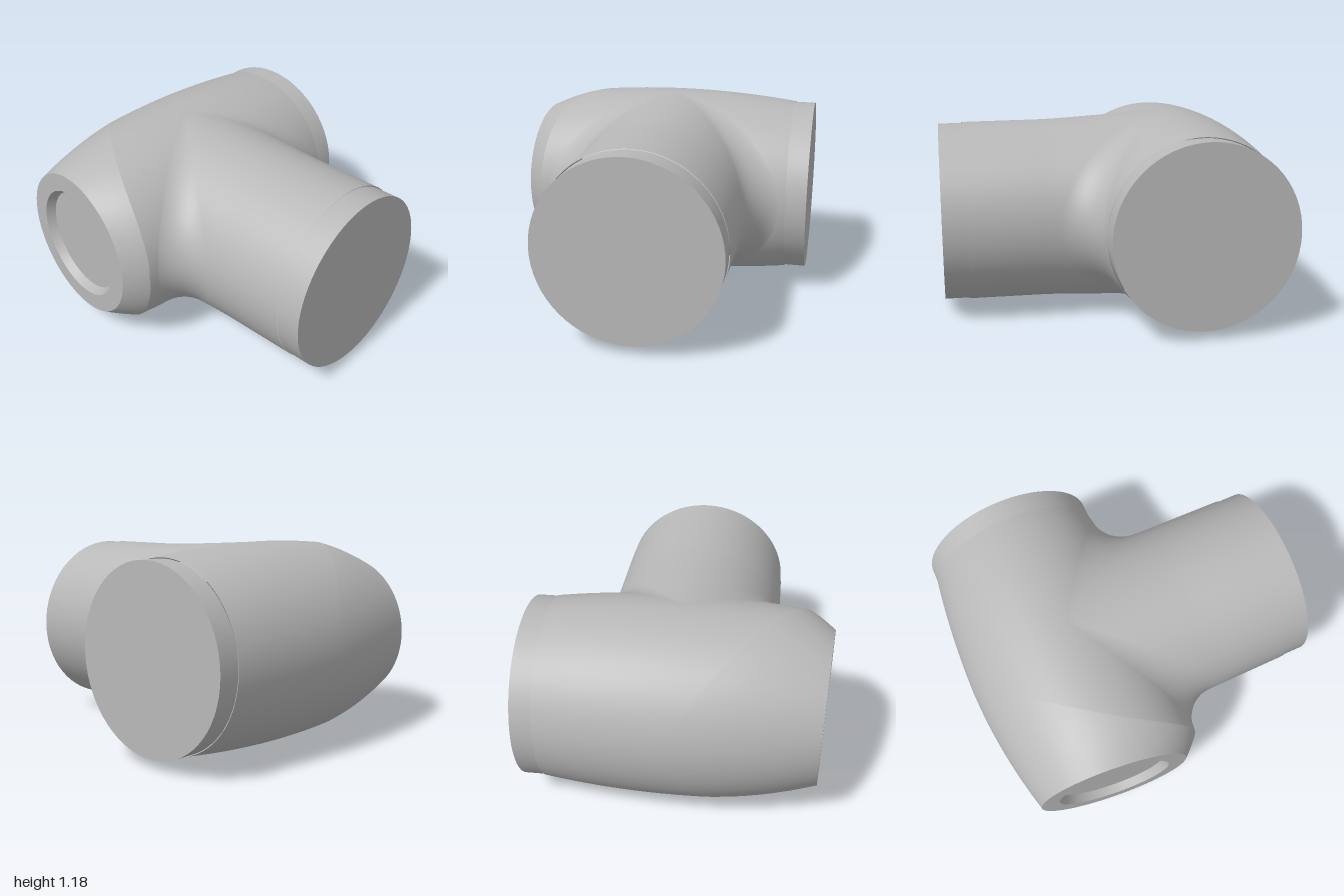
import * as THREE from 'three';
import { mergeVertices, toCreasedNormals } from 'three/addons/utils/BufferGeometryUtils.js';

const CX = -0.415, CY = 0.59;   // main axis runs along z, branch axis along x
const FILLET = 0.235;

// gently bulging radii of the two bodies
const mainRadius = z => 0.588 - 0.09 * z * z;
const branchRadius = x => {
  const t = THREE.MathUtils.clamp((x - CX) / 0.8, 0, 1);
  return 0.54 + 0.048 * Math.pow(1 - t, 1.2) - 0.008 * Math.max(0, x - 0.385);
};
// slanted line where the main body turns into the tapered nose
const noseStart = a => 0.54 + 0.385 * Math.cos(a) - 0.155 * Math.cos(a) ** 2;

// smooth surface from f(u, v) with u, v in 0..1
function surface(f, nu, nv) {
  const pos = [], idx = [];
  for (let j = 0; j <= nv; j++) {
    for (let i = 0; i <= nu; i++) pos.push(...f(i / nu, j / nv).toArray());
  }
  for (let j = 0; j < nv; j++) {
    for (let i = 0; i < nu; i++) {
      const a = j * (nu + 1) + i, b = a + nu + 1;
      idx.push(a, a + 1, b, a + 1, b + 1, b);
    }
  }
  let g = new THREE.BufferGeometry();
  g.setAttribute('position', new THREE.Float32BufferAttribute(pos, 3));
  g.setIndex(idx);
  g = mergeVertices(g, 1e-5);
  g.computeVertexNormals();
  return g;
}

const mainPoint = (a, z) => {
  const r = mainRadius(z);
  return new THREE.Vector3(CX + r * Math.cos(a), CY + r * Math.sin(a), z);
};

// rolling-ball fillet between main body and branch, side = 1 front, -1 back
function filletPoint(phi, v, side) {
  let r1 = 0.54, r2 = 0.54;
  const c = new THREE.Vector3(), d1 = new THREE.Vector3(), d2 = new THREE.Vector3();
  for (let k = 0; k < 12; k++) {
    const y = (r2 + FILLET) * Math.sin(phi), z = (r2 + FILLET) * Math.cos(phi);
    const x = Math.sqrt(Math.max(0, (r1 + FILLET) ** 2 - y * y));
    c.set(CX + x, y, side * z);
    r1 = mainRadius(z);
    r2 = branchRadius(c.x);
  }
  d1.set(CX - c.x, -c.y, 0).normalize();
  d2.set(0, -c.y, -c.z).normalize();
  const d = d1.lerp(d2, v).normalize();
  return c.addScaledVector(d, FILLET).add(new THREE.Vector3(0, CY, 0));
}

export function createModel() {
  const model = new THREE.Group();
  const grey = new THREE.MeshStandardMaterial({ color: 0xb8b8b8, side: THREE.DoubleSide });
  grey.name = 'plain grey';
  const add = (name, geometry) => {
    const m = new THREE.Mesh(geometry, grey);
    m.name = name;
    model.add(m);
    return m;
  };
  const TAU = Math.PI * 2;

  // main body up to the nose line
  add('mainBody', surface((u, v) => {
    const a = u * TAU;
    return mainPoint(a, THREE.MathUtils.lerp(-0.76, noseStart(a), v));
  }, 96, 32));

  // branch body
  add('branchBody', surface((u, v) => {
    const a = u * TAU, x = THREE.MathUtils.lerp(CX, 0.86, v), r = branchRadius(x);
    return new THREE.Vector3(x, CY + r * Math.cos(a), r * Math.sin(a));
  }, 96, 24));

  // fillets in both corners
  for (const side of [1, -1]) {
    add(side > 0 ? 'frontFillet' : 'backFillet', surface((u, v) =>
      filletPoint((u - 0.5) * Math.PI * 0.985, side > 0 ? 1 - v : v, side), 64, 14));
  }

  // tilted front face with a shallow recess
  const face = [[0.45, 0], [0.34, 0], [0.313, -0.05], [0, -0.05]].map(p => new THREE.Vector2(...p));
  const faceGeometry = toCreasedNormals(new THREE.LatheGeometry(face, 96).rotateX(Math.PI / 2), 0.5);
  const frontFace = add('frontFace', faceGeometry);
  frontFace.position.set(-0.442, CY, 0.842);
  frontFace.rotation.y = -0.089;
  frontFace.updateMatrix();

  // tapered nose between the body line and the front face
  add('nose', surface((u, v) => {
    const a = u * TAU, out = new THREE.Vector3(Math.cos(a), Math.sin(a), 0);
    const start = mainPoint(a, noseStart(a));
    const end = out.clone().multiplyScalar(0.45).applyMatrix4(frontFace.matrix);
    const bulge = 0.12 * v * (1 - v) * start.distanceTo(end);
    return start.lerp(end, v).addScaledVector(out, bulge);
  }, 96, 12));

  // closed collars on the back and side openings
  const collar = len => new THREE.CylinderGeometry(0.531, 0.531, len, 64);
  add('backCollar', collar(0.127).rotateX(Math.PI / 2)).position.set(CX, CY, -0.8215);
  add('sideCollar', collar(0.142).rotateZ(Math.PI / 2)).position.set(0.929, CY, 0);

  return model;
}
